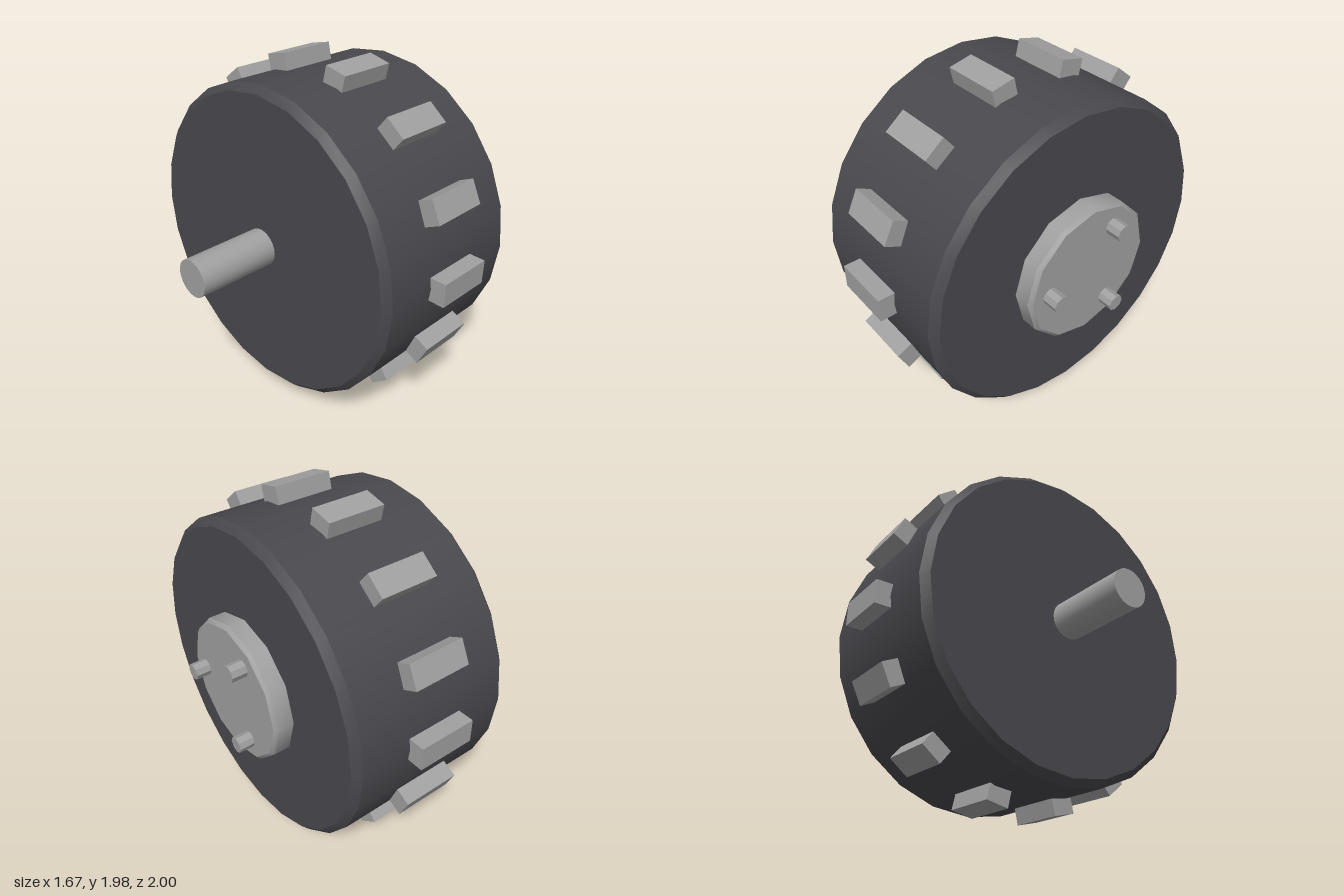
import * as THREE from 'three';
import { toCreasedNormals } from 'three/addons/utils/BufferGeometryUtils.js';

const CENTER_Y = 0.99;

// Solid of revolution about the x axis; profile is [radius, x] from -x to +x
function turned(profile, sides) {
  const points = profile.map(([r, x]) => new THREE.Vector2(r, x));
  const geometry = new THREE.LatheGeometry(points, sides);
  geometry.rotateZ(-Math.PI / 2);
  return toCreasedNormals(geometry, 0.6);
}

export function createModel() {
  const rubber = new THREE.MeshStandardMaterial({ color: 0x49484d });
  rubber.name = 'darkRubber';
  const metal = new THREE.MeshStandardMaterial({ color: 0xa0a0a1 });
  metal.name = 'greyMetal';

  const model = new THREE.Group();
  model.name = 'treadedWheel';
  const wheel = new THREE.Group();
  wheel.name = 'wheel';
  wheel.position.y = CENTER_Y;
  model.add(wheel);

  const add = (name, geometry, material) => {
    const mesh = new THREE.Mesh(geometry, material);
    mesh.name = name;
    wheel.add(mesh);
    return mesh;
  };

  // Tire with bevelled rims
  add('tire', turned([
    [0, -0.363], [0.875, -0.363], [0.915, -0.323],
    [0.915, 0.595], [0.875, 0.635], [0, 0.635],
  ], 24), rubber);

  // Hub plate with a bevelled outer edge
  add('hubPlate', turned([
    [0, 0.62], [0.41, 0.62], [0.41, 0.725], [0.39, 0.745], [0, 0.745],
  ], 12), metal);

  // Axle stub on the inner side
  add('axle', turned([
    [0, -0.835], [0.108, -0.835], [0.108, -0.35], [0, -0.35],
  ], 24), metal);

  // Three wheel bolts
  const boltGeometry = turned([
    [0, 0.73], [0.047, 0.73], [0.047, 0.832], [0, 0.832],
  ], 8);
  for (let i = 0; i < 3; i++) {
    const a = (i * Math.PI * 2) / 3;
    add('bolt', boltGeometry, metal).position.set(0, Math.sin(a) * 0.277, Math.cos(a) * 0.277);
  }

  // Fourteen tread lugs around the tire
  const lugGeometry = new THREE.BoxGeometry(0.335, 0.136, 0.14);
  lugGeometry.translate(0.137, 0, 0.93);
  for (let i = 0; i < 14; i++) {
    add('treadLug', lugGeometry, metal).rotation.x = (i * Math.PI * 2) / 14;
  }

  return model;
}
